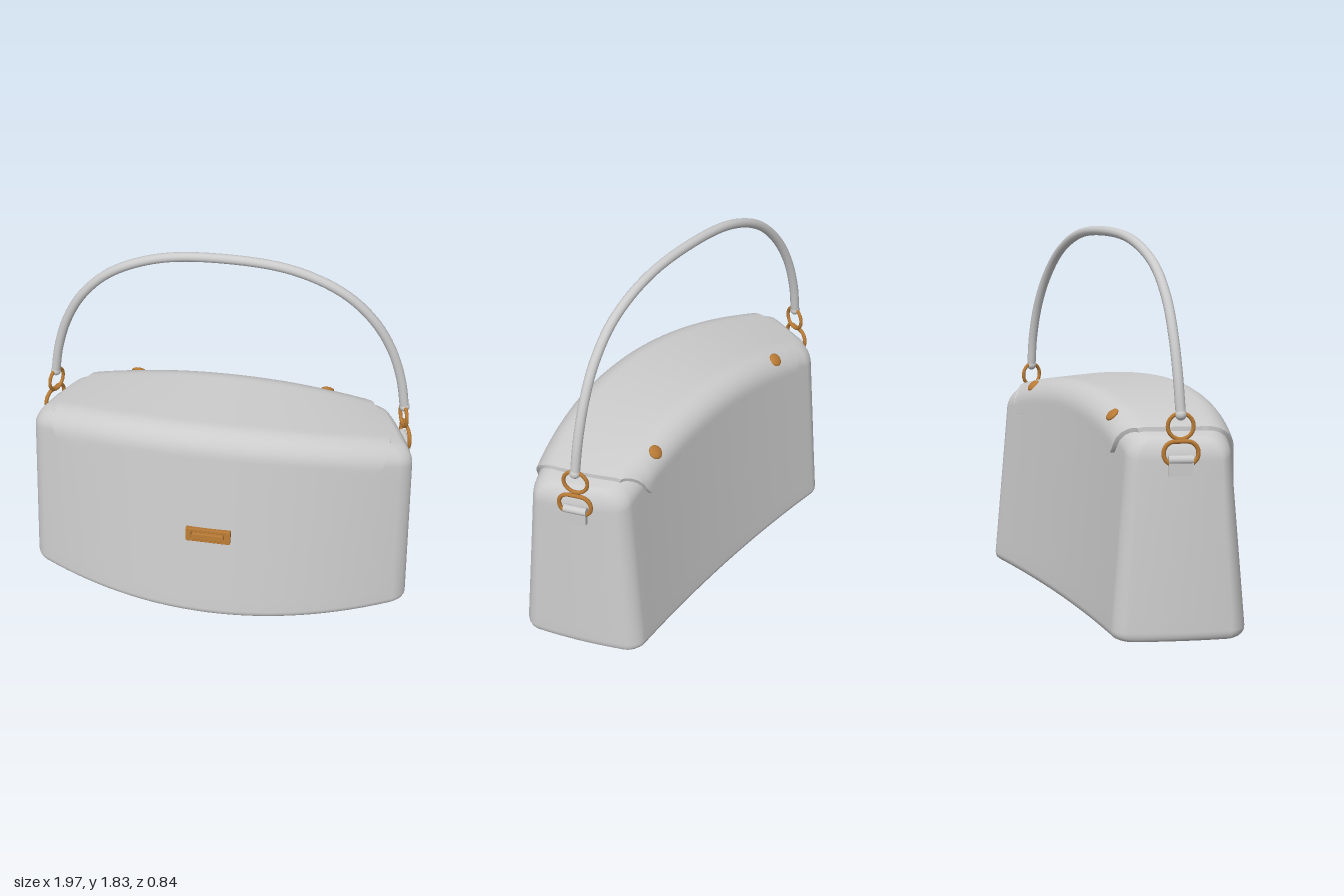
import * as THREE from 'three';
import { toCreasedNormals } from 'three/addons/utils/BufferGeometryUtils.js';

const leather = new THREE.MeshStandardMaterial({ color: 0xcccccc, side: THREE.DoubleSide });
const brass = new THREE.MeshStandardMaterial({ color: 0xb87a35 });
const { lerp, smoothstep } = THREE.MathUtils;
const R = 0.09; // rounding of the top edges

function mesh(name, geometry, material, parent, pos = [0, 0, 0]) {
  const m = new THREE.Mesh(geometry, material);
  m.name = name;
  m.position.set(...pos);
  parent.add(m);
  return m;
}

// Bag volume: u runs left-right, w back-front (both -1..1), y is the height
const topY = (u) => 1.05 - 0.14 * (0.95 * u) ** 2;
const frontZ = (u, t) => 0.425 - 0.13 * t - (0.29 - 0.05 * t) * u * u;
const backZ = (u, t) => -0.39 + 0.1 * t - 0.04 * u * u;
const depth = (u, y) => frontZ(u, y / 1.05) - backZ(u, y / 1.05);
function bagPoint(u, w, y) {
  const t = y / 1.05, f = (w + 1) / 2;
  const half = lerp(0.8 - 0.02 * t, 1 - 0.035 * t, f) + 0.02 * Math.max(0, 1 - w * w);
  return [u * half, y, lerp(backZ(u, t), frontZ(u, t), f)];
}

// Skin over rows of points; closed rows wrap round
function skin(rows, closed) {
  const n = rows[0].length, index = [];
  for (let i = 0; i < rows.length - 1; i++)
    for (let j = 0; j < (closed ? n : n - 1); j++) {
      const k = (j + 1) % n, a = i * n + j, b = i * n + k, c = a + n, d = b + n;
      index.push(a, b, c, b, d, c);
    }
  const g = new THREE.BufferGeometry();
  g.setAttribute('position', new THREE.Float32BufferAttribute(rows.flat(2), 3));
  g.setIndex(index);
  g.computeVertexNormals();
  return g;
}

// Rounded square in (u, w), starting along the front
function planOutline(ru, rw) {
  const pts = [];
  for (let k = 0; k < 4; k++) {
    const [rp, rq] = k % 2 ? [rw, ru] : [ru, rw];
    const turn = (p, q) => pts.push([[p, q], [q, -p], [-p, -q], [-q, p]][k]);
    const n = k % 2 ? 8 : 30;
    for (let i = 0; i < n; i++) turn((1 - rp) * (2 * i / n - 1), 1);
    for (let i = 0; i < 6; i++) {
      const a = i / 6 * Math.PI / 2;
      turn(1 - rp + rp * Math.sin(a), 1 - rq + rq * Math.cos(a));
    }
  }
  return pts;
}

function bodyGeometry() {
  const plan = planOutline(0.07, 0.2);
  // each ring: inset, height = f * top + e, depth scale
  const rings = [];
  const r0 = 0.045;
  for (let i = 0; i <= 5; i++) {
    const a = i / 5 * Math.PI / 2;
    rings.push([r0 * (1 - Math.sin(a)), 0, r0 * (1 - Math.cos(a)), 1]);
  }
  for (let i = 1; i < 12; i++) rings.push([0, i / 12, lerp(r0, -R, i / 12), 1]);
  for (let i = 0; i <= 7; i++) {
    const a = i / 7 * Math.PI / 2;
    rings.push([R * (1 - Math.cos(a)), 1, -R * (1 - Math.sin(a)), 1]);
  }
  rings.unshift([r0, 0, 0, 0]);
  rings.push([R, 1, 0, 0.5], [R, 1, 0, 0]);
  return skin(rings.map(([inset, f, e, scale]) => plan.map(([u0, w0]) => {
    const u = u0 * (1 - inset * 0.6), y = f * topY(u) + e;
    return bagPoint(u, w0 * scale * (1 - 2 * inset / depth(u, y)), y);
  })), true);
}

// Point on the bag's section: s is the distance from the top middle, front positive
function wrapPoint(u, s, off) {
  const d = depth(u, topY(u) - R) / 2, a = Math.abs(s) - (d - R), arc = R * Math.PI / 2;
  let inset, drop;
  if (a < 0) { inset = R - a; drop = -off; }
  else if (a < arc) {
    inset = R - (R + off) * Math.sin(a / R);
    drop = R - (R + off) * Math.cos(a / R);
  } else { inset = -off; drop = R + a - arc; }
  const y = topY(u) - drop;
  const w = a < 0 ? s / d : Math.sign(s) * (1 - 2 * inset / depth(u, y));
  return bagPoint(u, w, y);
}

function flapGeometry() {
  const edge = new THREE.SplineCurve([[0, 0.42], [0.2, 0.425], [0.4, 0.445], [0.55, 0.49], [0.65, 0.575],
    [0.75, 0.745], [0.83, 0.885], [0.87, 0.95]].map((p) => new THREE.Vector2(...p)));
  const N = 30, M = 60, cols = [];
  for (let j = -N; j <= N; j++) {
    const p = edge.getPoint(Math.abs(j) / N);
    const u = p.x / 0.975, d = depth(u, topY(u) - R) / 2;
    const drop = Math.max(0, topY(u) - p.y);
    const front = d - R + (drop < R ? R * Math.acos(1 - drop / R) : R * Math.PI / 2 + drop - R);
    const back = (d + R * (Math.PI / 2 - 1) + 0.06) * (1 - 0.5 * smoothstep(u, 0.74, 0.9));
    cols.push([Math.sign(j) * u, front, back]);
  }
  // the border is repeated at a lower level to turn the edge into the body
  const rim = (list) => [list[0], ...list, list[list.length - 1]];
  const fr = rim(Array.from({ length: M + 1 }, (_, i) => i / M)), cc = rim(cols);
  return toCreasedNormals(skin(fr.map((f, i) => cc.map(([u, front, back], j) => {
    const border = i === 0 || j === 0 || i === fr.length - 1 || j === cc.length - 1;
    return wrapPoint(u, lerp(front, -back, f), border ? -0.015 : 0.02);
  })), false), 0.8);
}

function roundRect(w, h, r, Type = THREE.Shape) {
  const s = new Type(), x = w / 2 - r, y = h / 2 - r;
  s.absarc(x, y, r, 0, Math.PI / 2);
  s.absarc(-x, y, r, Math.PI / 2, Math.PI);
  s.absarc(-x, -y, r, Math.PI, Math.PI * 1.5);
  s.absarc(x, -y, r, Math.PI * 1.5, Math.PI * 2);
  s.closePath();
  return s;
}

export function createModel() {
  const bag = new THREE.Group();
  bag.name = 'handbag';
  mesh('body', bodyGeometry(), leather, bag);
  mesh('flap', flapGeometry(), leather, bag);

  // Arched handle
  const half = [[0.893, 1.04, -0.147], [0.865, 1.2, -0.147], [0.805, 1.38, -0.14], [0.71, 1.54, -0.127],
    [0.56, 1.68, -0.115], [0.32, 1.78, -0.11]];
  const path = [...half, [0, 1.81, -0.108], ...half.map(([x, y, z]) => [-x, y, z]).reverse()];
  const curve = new THREE.CatmullRomCurve3(path.map((p) => new THREE.Vector3(...p)));
  mesh('handle', new THREE.TubeGeometry(curve, 96, 0.023, 12), leather, bag);

  // Side hardware: ring, loop and leather tab
  for (const side of [1, -1]) {
    const mirror = new THREE.Group();
    mirror.name = side > 0 ? 'leftHardware' : 'rightHardware';
    mirror.scale.x = side;
    bag.add(mirror);
    mesh('handleEnd', new THREE.SphereGeometry(0.026, 14, 10), leather, mirror, [0.893, 1.042, -0.147]);
    const g = new THREE.Group();
    g.name = 'sideFitting';
    g.position.set(0.893, 0, -0.147);
    g.rotation.y = 0.35;
    mirror.add(g);
    mesh('ring', new THREE.TorusGeometry(0.058, 0.009, 10, 32), brass, g, [0, 0.99, 0]).rotation.y = Math.PI / 2;
    const pts = roundRect(0.155, 0.105, 0.05).getSpacedPoints(40).slice(0, -1)
      .map((p) => new THREE.Vector3(0, p.y, p.x));
    const loop = new THREE.CatmullRomCurve3(pts, true);
    mesh('loop', new THREE.TubeGeometry(loop, 48, 0.01, 8, true), brass, g, [0.018, 0.872, 0]);
    mesh('tab', new THREE.BoxGeometry(0.025, 0.085, 0.11), leather, g, [0.02, 0.812, 0]);
    mesh('tabFold', new THREE.CylinderGeometry(0.02, 0.02, 0.11, 14), leather, g, [0.018, 0.842, 0])
      .rotation.x = Math.PI / 2;
    // Stud on the back of the flap
    const u = 0.625, d = depth(u, topY(u) - R) / 2;
    const stud = mesh('stud', new THREE.SphereGeometry(0.035, 20, 12), brass, mirror,
      wrapPoint(u, -(d - R + R * 0.75), 0.02));
    stud.scale.y = 0.4;
    stud.rotation.x = -0.75;
  }

  // Front clasp: frame with a turning bar
  const clasp = new THREE.Group();
  clasp.name = 'clasp';
  clasp.position.set(0, 0.515, 0.375);
  clasp.rotation.x = -0.12;
  bag.add(clasp);
  const frame = roundRect(0.22, 0.068, 0.004);
  frame.holes.push(roundRect(0.175, 0.044, 0.006, THREE.Path));
  mesh('claspFrame', new THREE.ExtrudeGeometry(frame, { depth: 0.022, bevelSize: 0.003, bevelThickness: 0.003,
    bevelSegments: 2 }), brass, clasp);
  mesh('claspPlate', new THREE.BoxGeometry(0.2, 0.055, 0.014), brass, clasp, [0, 0, 0.004]);
  mesh('claspBar', new THREE.ExtrudeGeometry(roundRect(0.155, 0.028, 0.008), { depth: 0.03, bevelSize: 0.004,
    bevelThickness: 0.004, bevelSegments: 2 }), brass, clasp, [0, 0, 0.005]);
  return bag;
}
